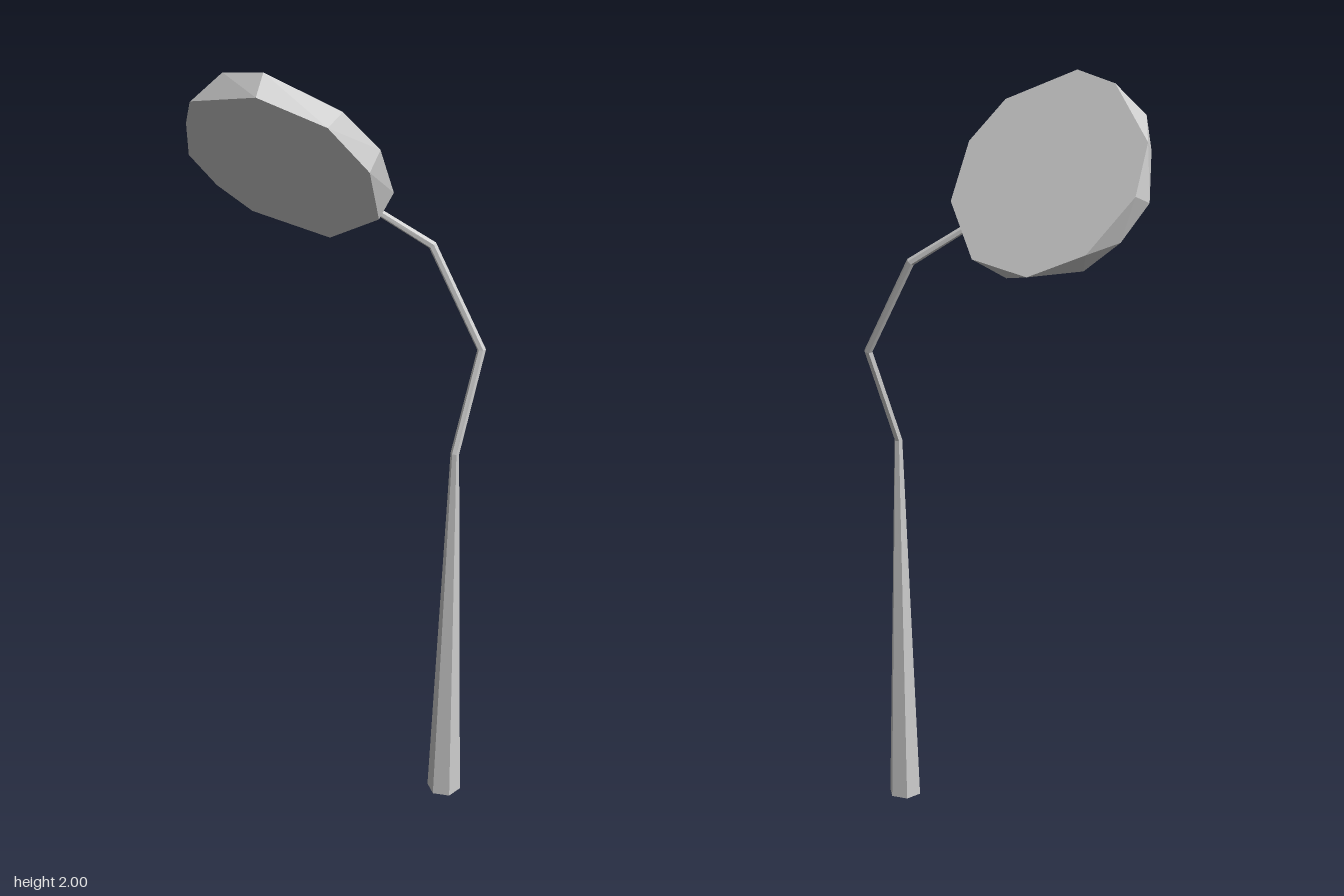
import * as THREE from 'three';
import { ConvexGeometry } from 'three/addons/geometries/ConvexGeometry.js';

const material = new THREE.MeshStandardMaterial({ color: 0xcccccc, flatShading: true });

// Six-sided tapered tube through bend points [x, y, z, radius], mitred at each bend
function bentTube(path, sides = 6) {
  const pts = path.map(([x, y, z]) => new THREE.Vector3(x, y, z));
  const dirs = pts.slice(1).map((p, i) => p.clone().sub(pts[i]).normalize());
  const last = pts.length - 1;
  const zAxis = new THREE.Vector3(0, 0, 1);
  const verts = [];
  pts.forEach((p, i) => {
    const t = dirs[Math.max(i - 1, 0)].clone().add(dirs[Math.min(i, last - 1)]).normalize();
    const u = t.clone().cross(zAxis).normalize();
    const v = u.clone().cross(t);
    for (let j = 0; j < sides; j++) {
      const a = (j + 0.5) / sides * Math.PI * 2;
      const q = p.clone()
        .addScaledVector(u, Math.cos(a) * path[i][3])
        .addScaledVector(v, Math.sin(a) * path[i][3]);
      verts.push(q.x, q.y, q.z);
    }
  });
  const index = [];
  for (let j = 0; j < sides; j++) {
    const k = (j + 1) % sides;
    for (let i = 0; i < last; i++) {
      const a = i * sides, b = a + sides;
      index.push(a + j, b + j, b + k, a + j, b + k, a + k);
    }
    // End caps as fans
    if (j > 0 && j < sides - 1) {
      const e = last * sides;
      index.push(0, j, j + 1, e, e + j + 1, e + j);
    }
  }
  const g = new THREE.BufferGeometry();
  g.setAttribute('position', new THREE.Float32BufferAttribute(verts, 3));
  g.setIndex(index);
  const flat = g.toNonIndexed();
  flat.computeVertexNormals();
  return flat;
}

// Tilted irregular slab: two outlines on parallel planes y = c + 0.369x + 1.464z
function slab() {
  const sx = 0.369, sz = 1.464, backC = 1.773, frontC = 1.655;
  // Back outline as x, z
  const back = [
    [-0.355, 0.07], [-0.3, -0.035], [-0.175, -0.11], [-0.005, -0.14], [0.133, -0.095],
    [0.165, -0.01], [0.12, 0.07], [-0.04, 0.165], [-0.16, 0.18], [-0.32, 0.14],
  ].map(([x, z]) => new THREE.Vector3(x, backC + sx * x + sz * z, z));
  // Front outline as x, y
  const front = [
    [-0.02, 1.955], [0.133, 1.9], [0.178, 1.78], [0.125, 1.625], [-0.06, 1.52],
    [-0.255, 1.56], [-0.315, 1.63], [-0.34, 1.72], [-0.28, 1.83], [-0.222, 1.905],
  ].map(([x, y]) => new THREE.Vector3(x, y, (y - frontC - sx * x) / sz));
  return new ConvexGeometry([...back, ...front]);
}

export function createModel() {
  const group = new THREE.Group();
  const add = (name, geometry) => {
    const mesh = new THREE.Mesh(geometry, material);
    mesh.name = name;
    group.add(mesh);
  };

  // Tapered post that bends back, then forward to the rim of the disc
  add('stem', bentTube([
    [0.315, 0, -0.135, 0.045],
    [0.315, 1.03, -0.135, 0.011],
    [0.315, 1.285, -0.225, 0.011],
    [0.18, 1.535, -0.187, 0.011],
    [0.07, 1.63, -0.088, 0.009],
  ]));

  // Faceted disc at the top
  add('disc', slab());
  return group;
}
